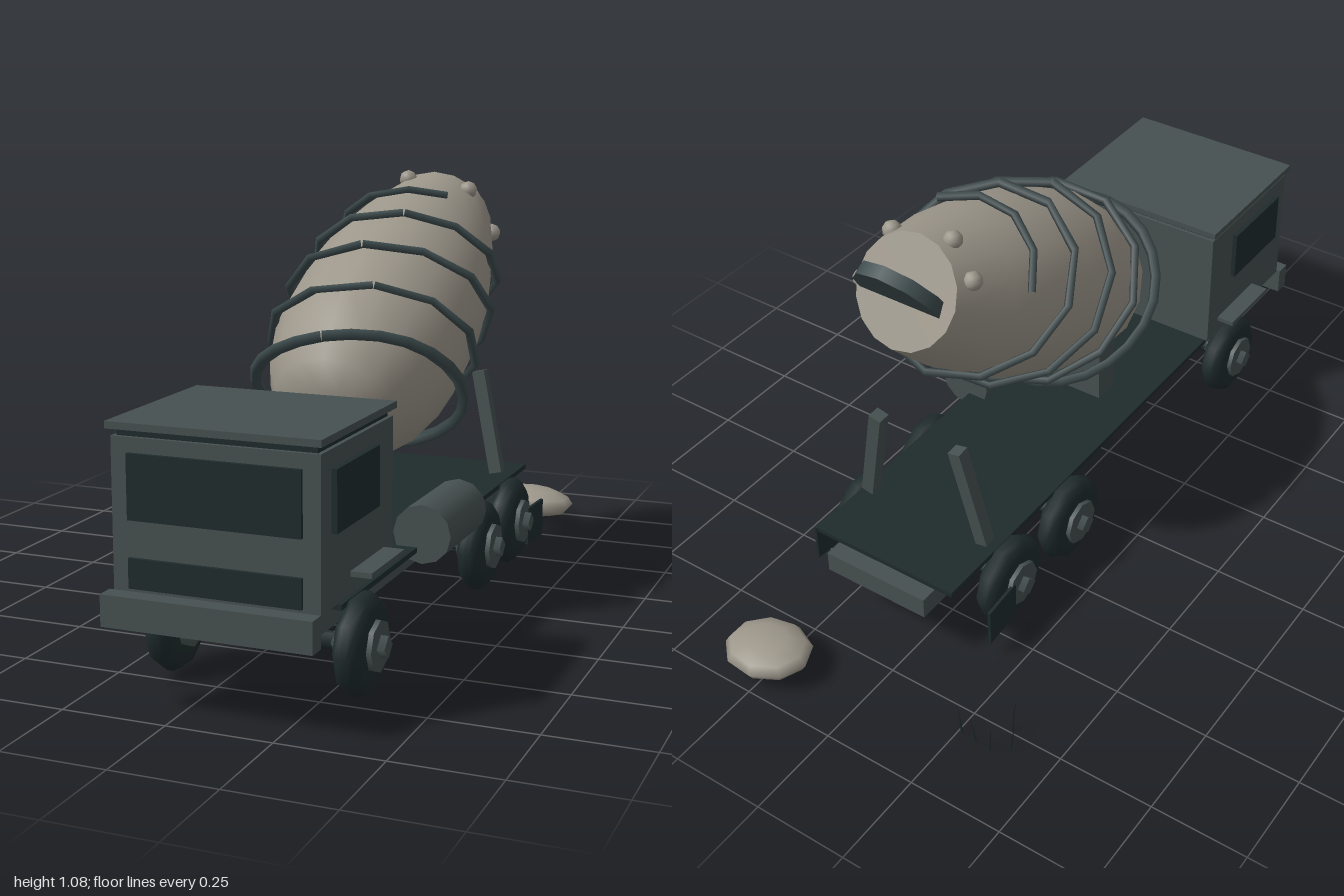
import * as THREE from 'three';

const mat = (name, color) => {
  const m = new THREE.MeshStandardMaterial({ color });
  m.name = name;
  return m;
};

export function createModel() {
  const stone = mat('stone', 0x9c968a);
  const slate = mat('slate', 0x465050);
  const dark = mat('dark', 0x1f2b2c);
  const steel = mat('steel', 0x3c4a4c);
  dark.side = THREE.DoubleSide;

  const model = new THREE.Group();
  model.name = 'mixerTruck';
  const CX = 0.1; // truck centre line

  const add = (name, geo, material, parent = model) => {
    const m = new THREE.Mesh(geo, material);
    m.name = name;
    parent.add(m);
    return m;
  };
  // Box given by its limits on each axis
  const box = (name, material, x0, x1, y0, y1, z0, z1) => {
    const m = add(name, new THREE.BoxGeometry(x1 - x0, y1 - y0, z1 - z0), material);
    m.position.set((x0 + x1) / 2, (y0 + y1) / 2, (z0 + z1) / 2);
    return m;
  };

  // Chassis
  box('frame', slate, -0.05, 0.25, 0.15, 0.207, -0.675, 0.85);
  box('deck', dark, -0.11, 0.31, 0.222, 0.235, -0.64, 0.77);

  // Cab
  box('cab', slate, -0.14, 0.34, 0.27, 0.608, 0.54, 0.955);
  box('roofSeal', dark, -0.13, 0.33, 0.608, 0.624, 0.55, 0.945);
  box('roof', slate, -0.15, 0.345, 0.624, 0.64, 0.53, 0.963);
  box('bumper', slate, -0.15, 0.34, 0.2, 0.272, 0.957, 1.0);
  box('windshield', dark, -0.1, 0.3, 0.43, 0.575, 0.955, 0.964);
  box('grille', dark, -0.1, 0.3, 0.28, 0.347, 0.955, 0.964);
  for (const s of [-1, 1]) {
    const side = CX + s * 0.245;
    box('sideWindow', dark, side - 0.008, side + 0.008, 0.43, 0.567, 0.655, 0.9);
    const step = CX + s * 0.262;
    box('step', slate, step - 0.027, step + 0.027, 0.309, 0.321, 0.595, 0.795);
  }

  // Wheels and axles
  const tyreProfile = [[0.05, -0.033], [0.09, -0.033], [0.108, -0.024], [0.117, -0.008],
    [0.117, 0.008], [0.108, 0.024], [0.09, 0.033], [0.05, 0.033]].map(p => new THREE.Vector2(...p));
  const tyreGeo = new THREE.LatheGeometry(tyreProfile, 10);
  const hubGeo = new THREE.CylinderGeometry(0.06, 0.06, 0.09, 8);
  const nutGeo = new THREE.CylinderGeometry(0.026, 0.026, 0.126, 4);
  for (const z of [0.695, -0.155, -0.425]) {
    for (const s of [-1, 1]) {
      const wheel = new THREE.Group();
      wheel.name = 'wheel';
      wheel.position.set(CX + s * 0.227, 0.126, z);
      wheel.rotation.z = -Math.PI / 2;
      add('tyre', tyreGeo, dark, wheel);
      add('hub', hubGeo, slate, wheel);
      add('hubNut', nutGeo, slate, wheel);
      model.add(wheel);
    }
    const axle = add('axle', new THREE.CylinderGeometry(0.021, 0.021, 0.4, 6), dark);
    axle.rotation.z = Math.PI / 2;
    axle.position.set(CX, 0.126, z);
  }

  // Mud flaps beside the rear wheels
  for (const s of [-1, 1]) {
    const x = CX + s * 0.272;
    box('mudFlap', dark, x - 0.004, x + 0.004, 0.05, 0.153, -0.58, -0.46).rotation.y = s * -0.06;
  }

  // Rear posts leaning inward, front support and side tank
  for (const s of [-1, 1]) {
    const a = new THREE.Vector3(CX + s * 0.18, 0.25, -0.457);
    const b = new THREE.Vector3(CX + s * 0.12, 0.53, -0.475);
    const post = add('rearPost', new THREE.BoxGeometry(0.035, a.distanceTo(b), 0.035), slate);
    post.position.copy(a).lerp(b, 0.5);
    post.quaternion.setFromUnitVectors(new THREE.Vector3(0, 1, 0), b.clone().sub(a).normalize());
  }
  box('drumSupport', slate, 0, 0.2, 0.235, 0.47, 0.19, 0.265);
  const tank = add('sideTank', new THREE.CylinderGeometry(0.073, 0.073, 0.28, 12), slate);
  tank.rotation.x = Math.PI / 2;
  tank.position.set(0.322, 0.268, 0.15);

  // Mixing drum: local +y runs out through the mouth, local +z is its upper side
  const drum = new THREE.Group();
  drum.name = 'drum';
  drum.position.set(CX, 0.955, -0.485);
  drum.rotation.x = -1.09;
  model.add(drum);
  const profile = [[0, 0.95], [0.105, 0.925], [0.16, 0.875], [0.205, 0.79], [0.238, 0.66],
    [0.24, 0.46], [0.225, 0.31], [0.195, 0.17], [0.14, 0]];
  add('drumShell', new THREE.LatheGeometry(profile.map(([r, a]) => new THREE.Vector2(r, -a)), 16), stone, drum);
  add('mouth', new THREE.CircleGeometry(0.14, 16), stone, drum).rotation.x = -Math.PI / 2;
  const radiusAt = (a) => {
    for (let i = 1; i < profile.length; i++) {
      const [r0, a0] = profile[i - 1], [r1, a1] = profile[i];
      if (a >= a1) return r0 + (r1 - r0) * (a0 - a) / (a0 - a1);
    }
    return 0.14;
  };

  // Slanted coarse bands around the drum
  const band = (centre, lift, from, to, steps, thick) => {
    const path = new THREE.CurvePath();
    const pts = [];
    for (let i = 0; i <= steps; i++) {
      const t = from + (to - from) * i / steps;
      const a = centre + 0.1 * Math.cos(t) - 0.04 * Math.sin(t);
      const r = radiusAt(a) + lift;
      pts.push(new THREE.Vector3(r * Math.sin(t), -a, r * Math.cos(t)));
    }
    for (let i = 0; i < steps; i++) path.add(new THREE.LineCurve3(pts[i], pts[i + 1]));
    add('drumBand', new THREE.TubeGeometry(path, steps, thick, 4, false), steel, drum);
  };
  band(0.755, 0.04, 0, Math.PI * 2, 24, 0.016);
  band(0.6, 0.022, 0.3, 0.3 + Math.PI * 2, 11, 0.012);
  band(0.44, 0.022, 0, Math.PI * 2, 11, 0.012);
  band(0.28, 0.02, 0.2, 0.2 + Math.PI * 2, 11, 0.012);
  band(0.13, 0.018, -1.3, 0.5, 4, 0.011);

  // Knobs around the neck
  for (const t of [-1.1, -0.4, 0.75, 1.7]) {
    const knob = add('neckKnob', new THREE.SphereGeometry(0.024, 8, 6), stone, drum);
    knob.position.set(0.155 * Math.sin(t), -0.045, 0.155 * Math.cos(t));
  }

  // Tilted hatch plate set into the mouth
  const hatch = add('mouthHatch', new THREE.CylinderGeometry(0.12, 0.12, 0.034, 10), steel);
  hatch.position.set(CX + 0.01, 0.945, -0.488);
  hatch.rotation.x = 0.985;

  // Boulder behind the truck
  const rock = add('boulder', new THREE.SphereGeometry(1, 9, 6), stone);
  rock.scale.set(0.12, 0.042, 0.097);
  rock.position.set(0.262, 0.06, -0.905);
  rock.rotation.z = -0.08;

  // Grass blades: x, z, height, lean
  for (const [x, z, h, lean] of [[-0.385, -0.79, 0.1, -0.015], [-0.355, -0.74, 0.11, -0.012],
    [-0.345, -0.82, 0.075, -0.006], [-0.305, -0.82, 0.07, 0.012], [-0.262, -0.815, 0.09, 0.012]]) {
    const blade = add('grassBlade', new THREE.ConeGeometry(0.004, h, 3), dark);
    blade.position.set(x + lean / 2, h / 2, z);
    blade.rotation.z = -lean / h;
  }

  return model;
}
